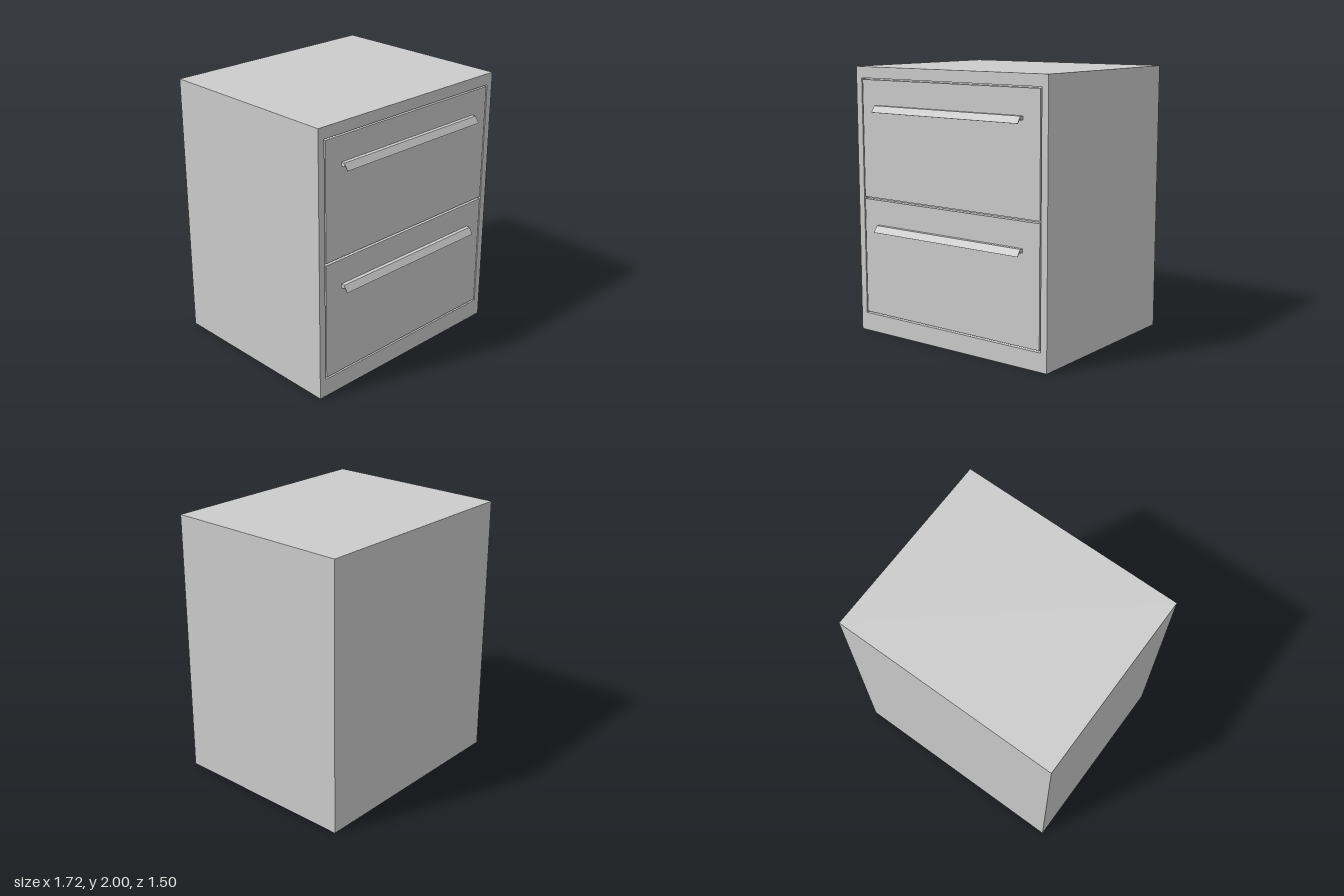
import * as THREE from 'three';

export function createModel() {
  const group = new THREE.Group();
  const material = new THREE.MeshStandardMaterial({ color: 0xcccccc });

  const add = (name, geometry, parent = group) => {
    const mesh = new THREE.Mesh(geometry, material);
    mesh.name = name;
    parent.add(mesh);
    return mesh;
  };
  // Box given by its minimum and maximum on each axis
  const box = (name, [x0, x1], [y0, y1], [z0, z1], parent) => {
    const mesh = add(name, new THREE.BoxGeometry(x1 - x0, y1 - y0, z1 - z0), parent);
    mesh.position.set((x0 + x1) / 2, (y0 + y1) / 2, (z0 + z1) / 2);
    return mesh;
  };

  const W = 0.862, inner = 0.81, front = 0.69, back = -0.75, backInner = -0.695, topY = 1.917;

  // Carcass
  box('topPanel', [-W, W], [topY, 2], [back, front]);
  box('backPanel', [-W, W], [0, topY], [back, backInner]);
  box('leftSidePanel', [inner, W], [0, topY], [backInner, front]);
  box('rightSidePanel', [-W, -inner], [0, topY], [backInner, front]);
  box('plinth', [-inner, inner], [0, 0.137], [backInner, front]);
  box('innerBody', [-inner, inner], [0.137, topY], [backInner, 0.65]);

  // Slanted lip handle, profile drawn as (z, y) below its top edge
  const profile = new THREE.Shape([
    [0, 0], [0.029, 0], [0.06, -0.047], [0.055, -0.049],
    [0.031, -0.013], [0.026, -0.028], [0, -0.028],
  ].map(([z, y]) => new THREE.Vector2(z, y)));
  const handleLength = 1.32;
  const handleGeometry = new THREE.ExtrudeGeometry(profile, { depth: handleLength, bevelEnabled: false });
  handleGeometry.rotateY(-Math.PI / 2); // profile x -> +z, depth -> -x
  handleGeometry.translate(handleLength / 2, 0, 0);

  // Two drawers, each with a front and a handle
  [
    { name: 'lowerDrawer', y: [0.15, 1.02], handleY: 0.834 },
    { name: 'upperDrawer', y: [1.036, 1.906], handleY: 1.722 },
  ].forEach(({ name, y, handleY }) => {
    const drawer = new THREE.Group();
    drawer.name = name;
    group.add(drawer);
    box('drawerFront', [-0.8, 0.8], y, [0.64, front], drawer);
    add('drawerHandle', handleGeometry, drawer).position.set(0, handleY, front);
  });

  return group;
}
